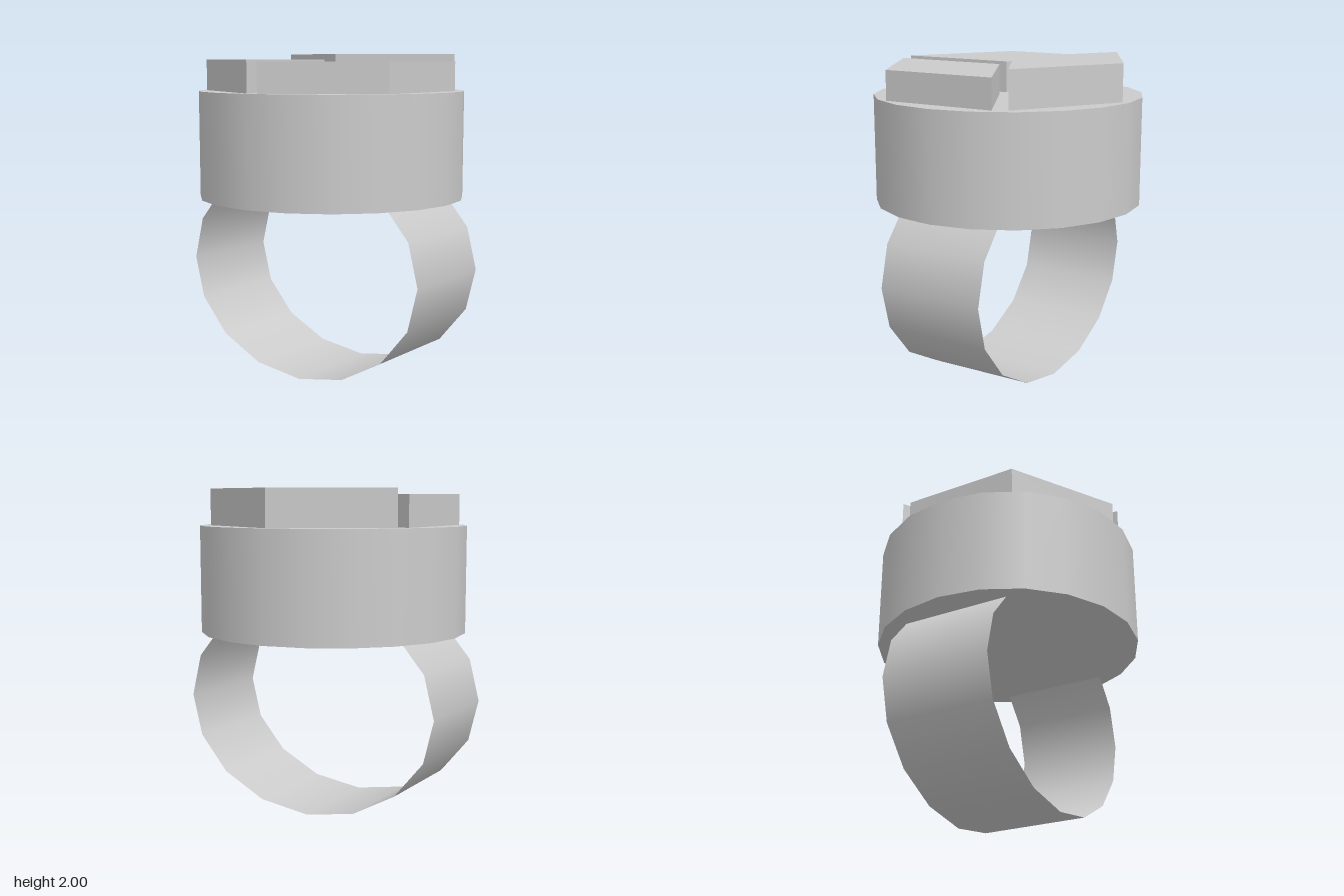
import * as THREE from 'three';

const grey = new THREE.MeshStandardMaterial({ color: 0xcccccc });
const thinGrey = new THREE.MeshStandardMaterial({ color: 0xcccccc, side: THREE.DoubleSide });

const DRUM_BOTTOM = 1.115;
const DRUM_TOP = 1.775;

// Upright prism over a floor outline given as [x, z] corners
function prism(corners, bottom, top) {
  const shape = new THREE.Shape(corners.map(([x, z]) => new THREE.Vector2(x, -z)));
  const geometry = new THREE.ExtrudeGeometry(shape, { depth: top - bottom, bevelEnabled: false });
  return geometry.rotateX(-Math.PI / 2).translate(0, bottom, 0);
}

export function createModel() {
  const group = new THREE.Group();
  const add = (name, geometry, material = grey) => {
    const mesh = new THREE.Mesh(geometry, material);
    mesh.name = name;
    group.add(mesh);
    return mesh;
  };

  // Finger band: a thin open hoop along x, slightly flattened in height
  const band = new THREE.CylinderGeometry(0.85, 0.85, 0.695, 16, 1, true);
  band.rotateZ(Math.PI / 2).scale(1, 0.8, 1).translate(0, 0.68, 0);
  add('band', band, thinGrey);

  // Round head sitting on the band
  const head = new THREE.CylinderGeometry(0.828, 0.828, DRUM_TOP - DRUM_BOTTOM, 20);
  head.translate(0, (DRUM_TOP + DRUM_BOTTOM) / 2, 0);
  add('head', head);

  // Three rhombic stones of different heights, together forming a hexagon
  const stones = [
    ['leftStone', 2.0, [[0.04, 0], [0.413, 0.64], [0.785, 0], [0.413, -0.642]]],
    ['frontStone', 1.955, [[-0.78, 0.045], [-0.405, 0.688], [0.335, 0.688], [-0.035, 0.045]]],
    ['backStone', 1.965, [[-0.78, -0.03], [-0.035, -0.03], [0.335, -0.675], [-0.405, -0.675]]],
  ];
  for (const [name, top, corners] of stones) add(name, prism(corners, DRUM_TOP, top));

  return group;
}
